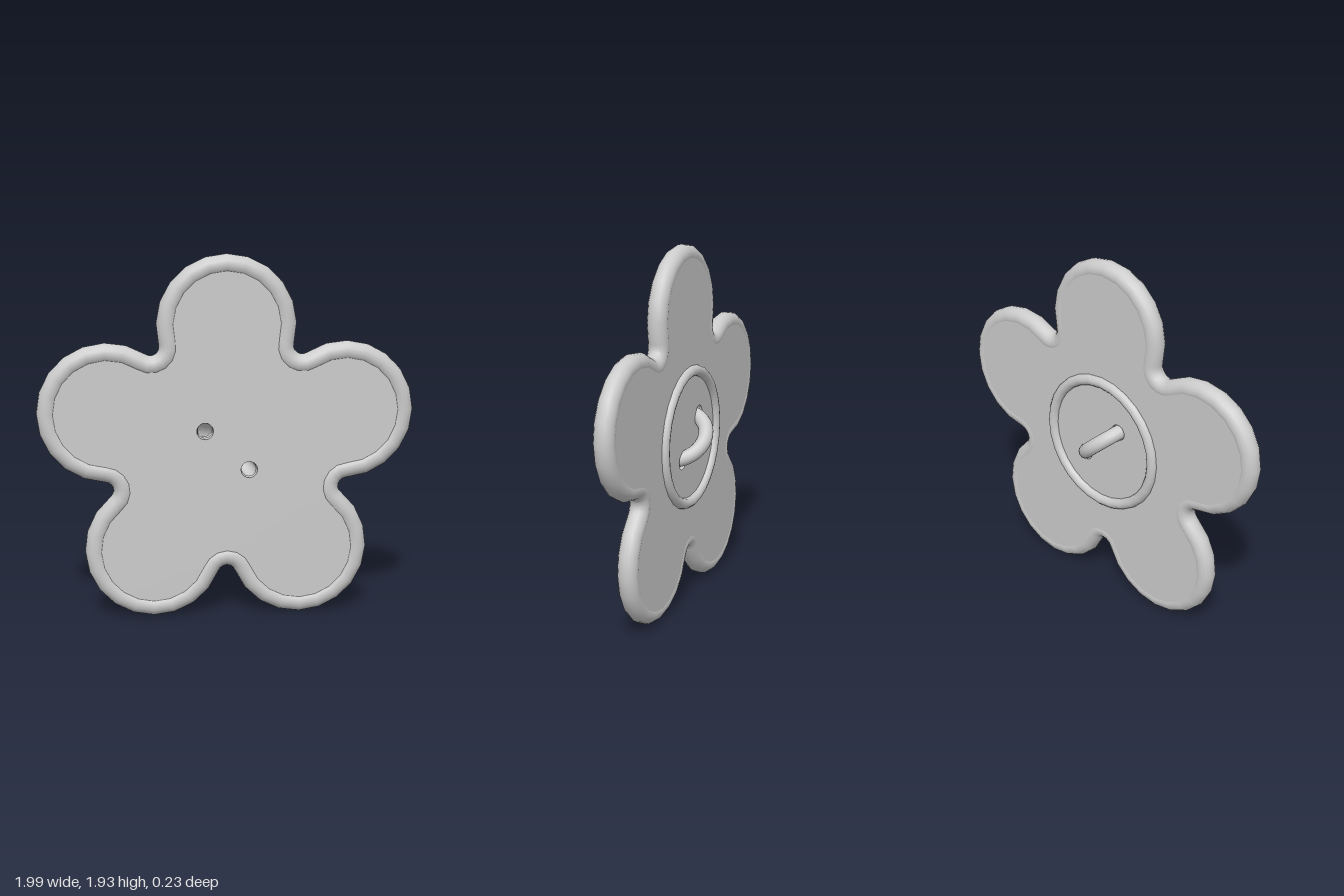
import * as THREE from 'three';

const CENTRE_Y = 0.91;
const LOBE = { dist: 0.66, r: 0.315 };    // petal arcs
const NOTCH = { dist: 0.679, r: 0.099 };  // rounded valleys between petals
const RIM_R = 0.054;
const HALF_ARC = THREE.MathUtils.degToRad(105.5);

// Five-petal outline, counter-clockwise: points with their outward normals
function flowerOutline() {
  const out = [];
  const add = (centre, dist, r, n) => {
    const normal = new THREE.Vector2(Math.cos(n), Math.sin(n));
    const p = new THREE.Vector2(Math.cos(centre), Math.sin(centre)).multiplyScalar(dist);
    out.push({ p: p.addScaledVector(normal, r), normal });
  };
  const step = (Math.PI * 2) / 5;
  for (let k = 0; k < 5; k++) {
    const axis = Math.PI / 2 + k * step;
    for (let i = 0; i <= 12; i++)
      add(axis, LOBE.dist, LOBE.r, axis + HALF_ARC * (i / 6 - 1));
    const from = axis + HALF_ARC, to = axis + step - HALF_ARC;
    for (let i = 1; i < 6; i++)
      add(axis + step / 2, NOTCH.dist, -NOTCH.r, from + (to - from) * i / 6);
  }
  return out;
}

// Closed round tube swept along the outline
function rimGeometry(outline, radius, sides) {
  const pos = [], index = [], n = outline.length;
  outline.forEach(({ p, normal }, i) => {
    for (let j = 0; j < sides; j++) {
      const a = (j / sides) * Math.PI * 2, c = Math.cos(a) * radius;
      pos.push(p.x + normal.x * c, p.y + normal.y * c, Math.sin(a) * radius);
      const i2 = (i + 1) % n, j2 = (j + 1) % sides;
      const q = [i * sides + j, i2 * sides + j, i2 * sides + j2, i * sides + j2];
      index.push(q[0], q[1], q[2], q[0], q[2], q[3]);
    }
  });
  const g = new THREE.BufferGeometry();
  g.setAttribute('position', new THREE.Float32BufferAttribute(pos, 3));
  g.setIndex(index);
  g.computeVertexNormals();
  return g;
}

export function createModel() {
  const group = new THREE.Group();
  group.name = 'flowerButton';
  const material = new THREE.MeshStandardMaterial({ color: 0xcccccc });
  const add = (name, geometry, z, mat = material) => {
    const mesh = new THREE.Mesh(geometry, mat);
    mesh.name = name;
    mesh.position.set(0, CENTRE_Y, z);
    group.add(mesh);
    return mesh;
  };
  const outline = flowerOutline();

  // Rounded rim
  add('petalRim', rimGeometry(outline, RIM_R, 16), 0.055);

  // Flat body pierced by the two thread holes
  const shape = new THREE.Shape(outline.map(o => o.p));
  for (const s of [-1, 1]) {
    const hole = new THREE.Path();
    hole.absarc(s * 0.117, -s * 0.105, 0.044, 0, Math.PI * 2, true);
    shape.holes.push(hole);
  }
  add('flowerBody', new THREE.ExtrudeGeometry(shape, {
    depth: 0.093, bevelEnabled: false, curveSegments: 10,
  }), 0.004);

  // Raised ring on the back
  add('backRing', new THREE.TorusGeometry(0.36, 0.03, 12, 28), 0.005);

  // Half loop on the back, its open ends sitting in the holes
  const loop = new THREE.TorusGeometry(0.157, 0.04, 14, 20, Math.PI);
  loop.rotateX(-Math.PI / 2).rotateZ(-0.73);
  add('backLoop', loop, 0.08, new THREE.MeshStandardMaterial({
    color: 0xcccccc, side: THREE.DoubleSide,
  }));

  return group;
}
